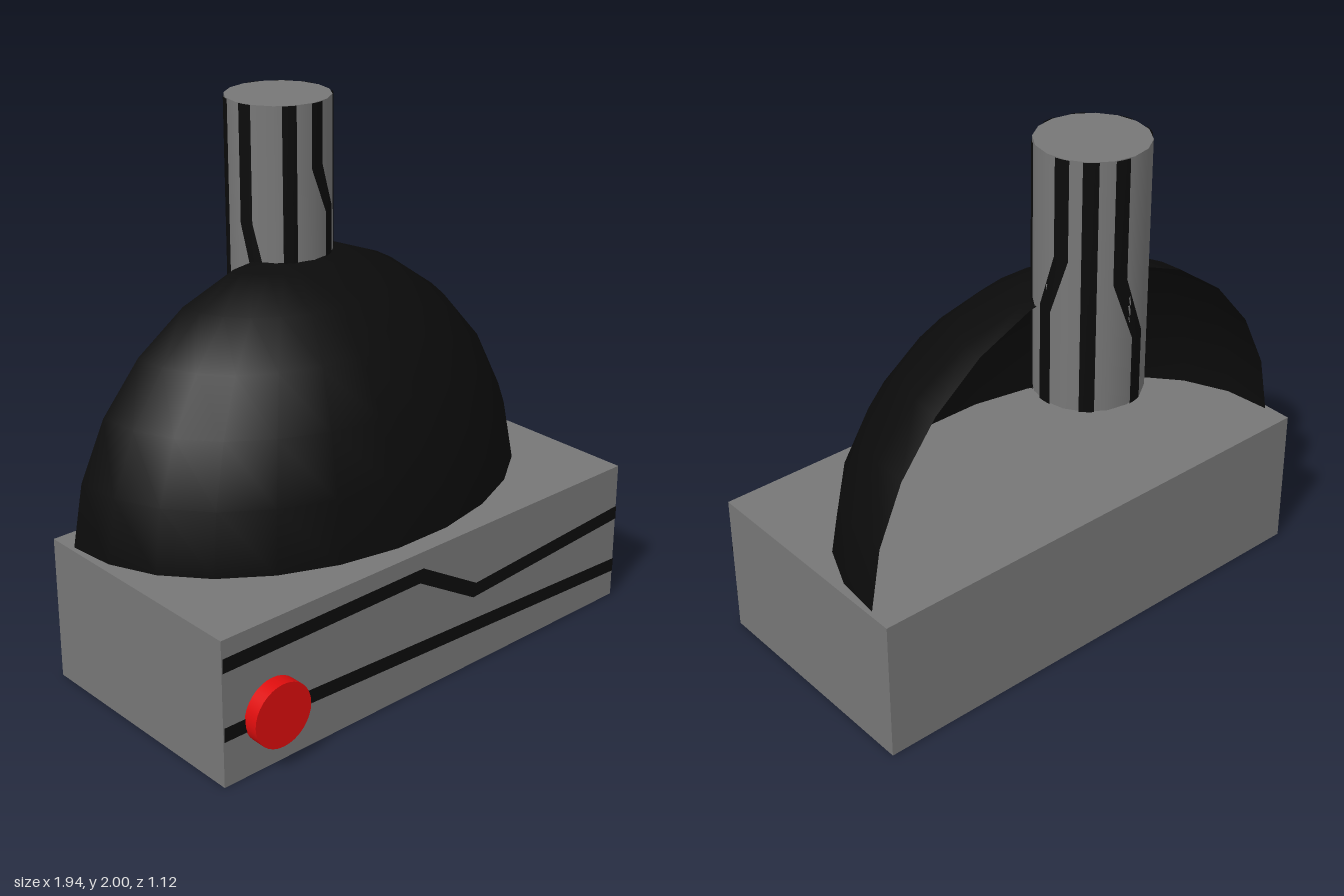
import * as THREE from 'three';

const grey = new THREE.MeshStandardMaterial({ color: 0x777777 });
grey.name = 'stone grey';
const black = new THREE.MeshStandardMaterial({ color: 0x0b0b0b, side: THREE.DoubleSide });
black.name = 'soot black';
const red = new THREE.MeshStandardMaterial({ color: 0xdd0d0d });
red.name = 'button red';

// Flat ribbon of constant width along a 2D path, placed on a surface by map(u, v)
function ribbon(path, width, map) {
  const pts = path.map(([x, y]) => new THREE.Vector2(x, y));
  const across = 4, pos = [], index = [];
  pts.forEach((p, i) => {
    const normal = (a, b) => {
      const d = b.clone().sub(a).normalize();
      return new THREE.Vector2(-d.y, d.x);
    };
    const n0 = i > 0 ? normal(pts[i - 1], p) : normal(p, pts[1]);
    const n1 = i < pts.length - 1 ? normal(p, pts[i + 1]) : n0;
    const m = n0.clone().add(n1).normalize();
    m.multiplyScalar(width / 2 / m.dot(n0)); // mitred corner
    for (let k = 0; k <= across; k++) {
      const t = 1 - 2 * k / across;
      pos.push(...map(p.x + m.x * t, p.y + m.y * t));
    }
  });
  const row = across + 1;
  for (let i = 0; i < pts.length - 1; i++) {
    for (let k = 0; k < across; k++) {
      const a = i * row + k, b = a + 1, c = b + row, d = a + row;
      index.push(a, b, c, a, c, d);
    }
  }
  const g = new THREE.BufferGeometry();
  g.setAttribute('position', new THREE.Float32BufferAttribute(pos, 3));
  g.setIndex(index);
  g.computeVertexNormals();
  return g;
}

export function createModel() {
  const model = new THREE.Group();
  const add = (name, geometry, material, x = 0, y = 0, z = 0) => {
    const mesh = new THREE.Mesh(geometry, material);
    mesh.name = name;
    mesh.position.set(x, y, z);
    model.add(mesh);
    return mesh;
  };

  // Base block
  add('base', new THREE.BoxGeometry(1.94, 0.555, 0.94), grey, 0, 0.2775, 0.03);

  // Open-backed half dome, a thin shell
  const deg = Math.PI / 180;
  const dome = new THREE.SphereGeometry(1, 13, 6, -3 * deg, 186 * deg, 0, 86.4 * deg);
  dome.scale(0.957, 0.96, 0.73);
  add('dome', dome, black, 0, 0.49, -0.3);

  // Chimney hanging over the back edge of the dome
  const r = 0.193, cx = 0.028, cz = -0.37, top = 2, bottom = 1.09;
  add('chimney', new THREE.CylinderGeometry(r, r, top - bottom, 16), grey, cx, (top + bottom) / 2, cz);

  // Chimney stripes: angle at the top, angle at the bottom, bend start and end heights
  const stripes = [
    [-28.6, -28.6, 1.7, 1.5], [4, 25, 1.77, 1.6], [56, 56, 1.7, 1.5],
    [108, 89, 1.65, 1.45], [136, 136, 1.7, 1.5], [167, 191, 1.57, 1.35],
    [247, 247, 1.7, 1.5], [283, 297, 1.57, 1.38],
  ];
  const wrap = (u, v) => {
    const a = u / r, R = r + 0.003;
    return [R * Math.sin(a), v, R * Math.cos(a)];
  };
  for (const [a0, a1, y0, y1] of stripes) {
    const u0 = a0 * deg * r, u1 = a1 * deg * r;
    const path = [[u0, top], [u0, y0], [u1, y1], [u1, bottom]];
    add('chimneyStripe', ribbon(path, 0.051, wrap), black, cx, 0, cz);
  }

  // Front stripes on the base
  const flat = (u, v) => [u, v, 0.504];
  add('upperStripe', ribbon([[-0.968, 0.462], [-0.08, 0.465], [0.19, 0.308], [0.968, 0.36]], 0.054, flat), black);
  add('lowerStripe', ribbon([[-0.968, 0.203], [-0.76, 0.2], [0.968, 0.132]], 0.054, flat), black);

  // Round button on the front
  const button = new THREE.CylinderGeometry(0.12, 0.12, 0.056, 32);
  button.rotateX(Math.PI / 2);
  add('button', button, red, -0.76, 0.215, 0.528);

  return model;
}
